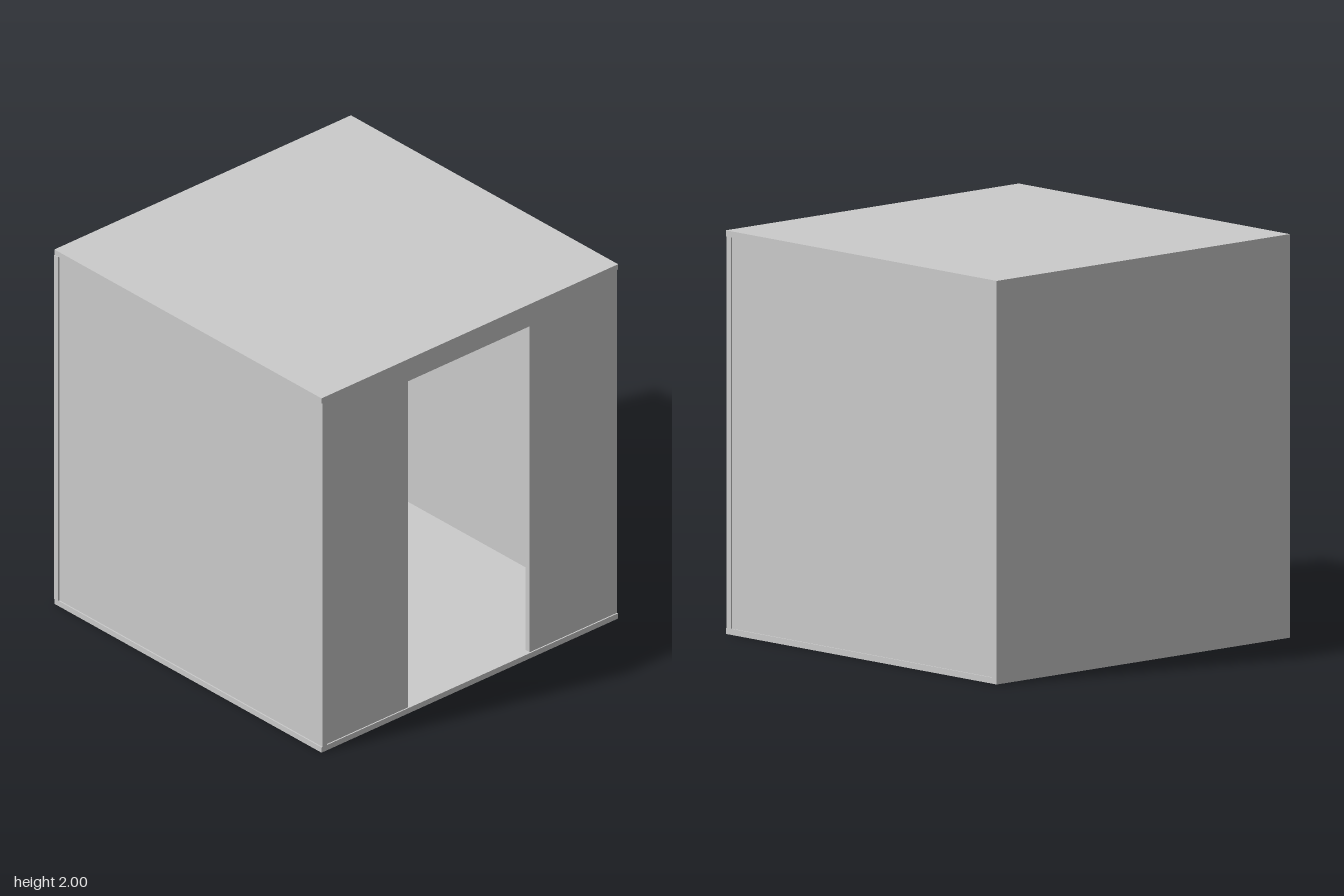
import * as THREE from 'three';

const material = new THREE.MeshStandardMaterial({ color: 0xcccccc, flatShading: true });

// Box given by its lower and upper corners
function panel(name, [x0, y0, z0], [x1, y1, z1]) {
  const mesh = new THREE.Mesh(new THREE.BoxGeometry(x1 - x0, y1 - y0, z1 - z0), material);
  mesh.name = name;
  mesh.position.set((x0 + x1) / 2, (y0 + y1) / 2, (z0 + z1) / 2);
  return mesh;
}

export function createModel() {
  const room = new THREE.Group();
  room.name = 'room';

  const E = 0.974; // half width of the floor and ceiling
  const W = 0.967; // outer face of the slightly inset walls
  const T = 0.03; // panel thickness
  const top = 2 - T;

  // Floor and ceiling slabs
  room.add(panel('floor', [-E, 0, -E], [E, T, E]));
  room.add(panel('ceiling', [-E, top, -E], [E, 2, E]));

  // Closed walls, each butting against its neighbour
  room.add(panel('backWall', [-E - 0.003, T, -E], [E, top, -E + T]));
  room.add(panel('rightWall', [-W, T, -E + T], [-W + T, top, E]));
  room.add(panel('leftWall', [W - T, T, -E + T], [W, top, W - T]));

  // Front wall with a doorway reaching down to the floor
  const outline = new THREE.Shape([
    [-W + T, T], [-0.4, T], [-0.4, 1.87], [0.4, 1.87],
    [0.4, T], [E, T], [E, top], [-W + T, top],
  ].map(([x, y]) => new THREE.Vector2(x, y)));
  const frontWall = new THREE.Mesh(
    new THREE.ExtrudeGeometry(outline, { depth: T, bevelEnabled: false }), material);
  frontWall.name = 'frontWall';
  frontWall.position.z = W - T;
  room.add(frontWall);

  return room;
}
